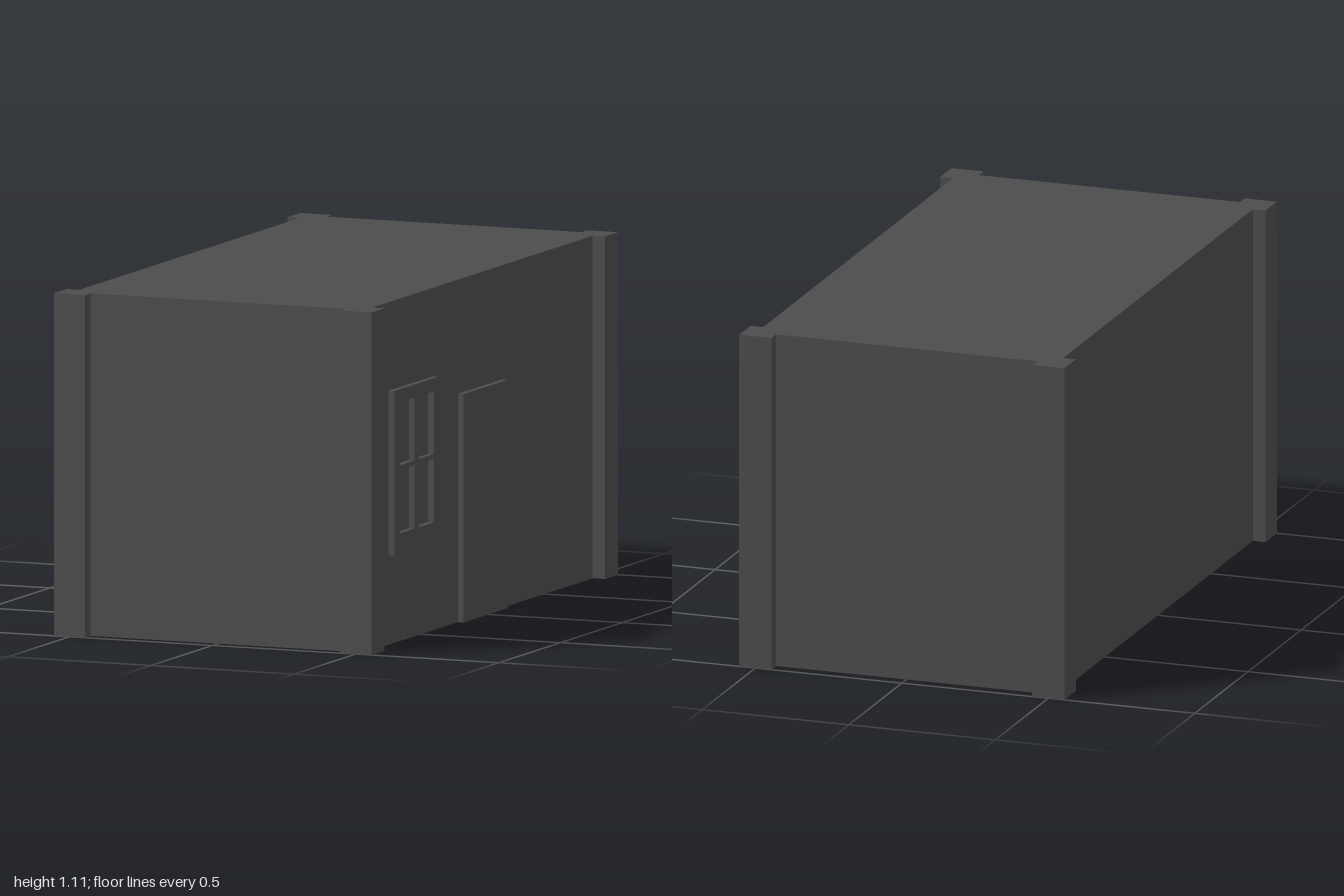
import * as THREE from 'three';

const HEIGHT = 1.11;
const BODY_X = 0.512, BODY_Z = 0.956;    // half sizes of the walls
const POST_X = 0.555, POST_Z = 1;        // outer faces of the corner posts
const POST_IN_X = 0.445, POST_IN_Z = 0.893;
const TRIM = 0.02;                       // how far door and window stand out

const rectPath = (path, x0, y0, x1, y1) => {
  path.moveTo(x0, y0);
  path.lineTo(x1, y0);
  path.lineTo(x1, y1);
  path.lineTo(x0, y1);
  path.closePath();
  return path;
};

export function createModel() {
  const group = new THREE.Group();
  const grey = new THREE.MeshStandardMaterial({ color: 0x4c4c4c });
  grey.name = 'darkGrey';

  const add = (name, geometry) => {
    const mesh = new THREE.Mesh(geometry, grey);
    mesh.name = name;
    group.add(mesh);
    return mesh;
  };

  // Main box
  add('body', new THREE.BoxGeometry(BODY_X * 2, HEIGHT, BODY_Z * 2)).position.y = HEIGHT / 2;

  // L-shaped posts wrapped around the four corners
  for (const sx of [-1, 1]) {
    for (const sz of [-1, 1]) {
      const plan = [
        [POST_IN_X, BODY_Z], [POST_IN_X, POST_Z], [POST_X, POST_Z],
        [POST_X, POST_IN_Z], [BODY_X, POST_IN_Z], [BODY_X, BODY_Z],
      ].map(([x, z]) => new THREE.Vector2(x * sx, -z * sz));
      const post = new THREE.ExtrudeGeometry(new THREE.Shape(plan), { depth: HEIGHT, bevelEnabled: false });
      post.rotateX(-Math.PI / 2);
      add('cornerPost', post);
    }
  }

  // Door slab on the +x wall
  add('door', new THREE.BoxGeometry(TRIM, 0.74, 0.355)).position.set(BODY_X + TRIM / 2, 0.37, 0.023);

  // Window frame with four openings, drawn in (-z, y) and turned onto the +x wall
  const frame = rectPath(new THREE.Shape(), -0.76, 0.29, -0.403, 0.823);
  for (const [z0, z1] of [[0.716, 0.597], [0.56, 0.441]]) {
    for (const [y0, y1] of [[0.356, 0.562], [0.577, 0.78]]) {
      frame.holes.push(rectPath(new THREE.Path(), -z0, y0, -z1, y1));
    }
  }
  const windowFrame = new THREE.ExtrudeGeometry(frame, { depth: TRIM, bevelEnabled: false });
  windowFrame.rotateY(Math.PI / 2);
  add('windowFrame', windowFrame).position.x = BODY_X;

  return group;
}
